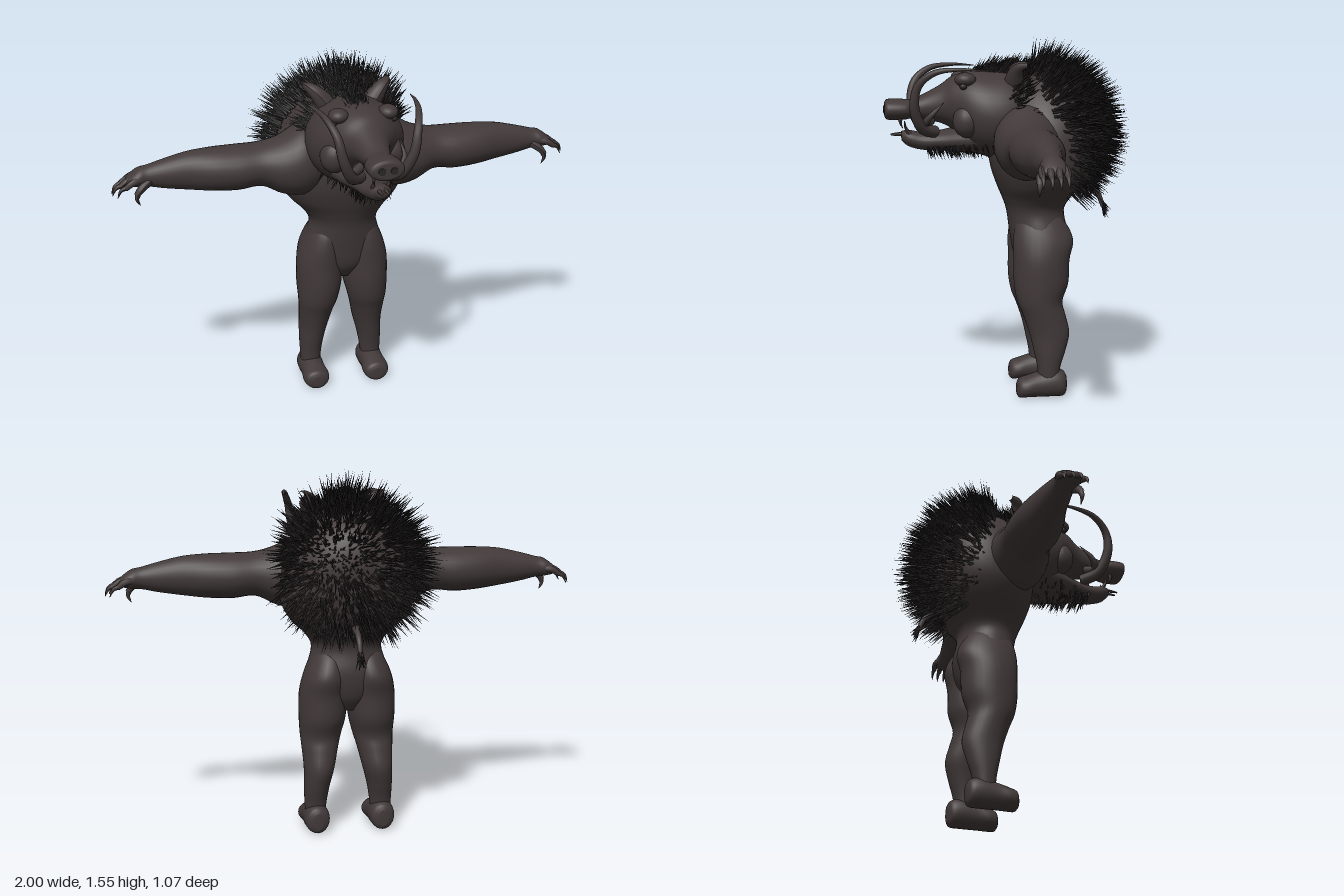
import * as THREE from 'three';
import { mergeGeometries } from 'three/addons/utils/BufferGeometryUtils.js';

const V = (x, y, z) => new THREE.Vector3(x, y, z);

// small seeded random generator
let seed = 7;
const rnd = (a = 0, b = 1) => {
  seed = (seed * 1664525 + 1013904223) % 4294967296;
  return a + (b - a) * seed / 4294967296;
};

const AXES = { x: [V(0, 1, 0), V(0, 0, 1)], y: [V(0, 0, 1), V(1, 0, 0)], z: [V(1, 0, 0), V(0, 1, 0)] };

// smooth skin through elliptical rings [x, y, z, radiusU, radiusV], listed in rising axis order
function loft(axis, rings, seg = 32, steps = 5) {
  const [u, v] = AXES[axis];
  const mid = new THREE.CatmullRomCurve3(rings.map(r => V(r[0], r[1], r[2])), false, 'catmullrom');
  const rad = new THREE.CatmullRomCurve3(rings.map(r => V(r[3], r[4], 0)), false, 'catmullrom');
  const n = (rings.length - 1) * steps, pos = [], index = [];
  for (let i = 0; i <= n; i++) {
    const c = mid.getPoint(i / n), r = rad.getPoint(i / n);
    for (let j = 0; j < seg; j++) {
      const a = j / seg * Math.PI * 2;
      const p = c.clone().addScaledVector(u, Math.cos(a) * r.x).addScaledVector(v, Math.sin(a) * r.y);
      pos.push(p.x, p.y, p.z);
    }
  }
  for (let i = 0; i < n; i++) for (let j = 0; j < seg; j++) {
    const a = i * seg + j, b = i * seg + (j + 1) % seg;
    index.push(a, b, b + seg, a, b + seg, a + seg);
  }
  const s = mid.getPoint(0), e = mid.getPoint(1), k = (n + 1) * seg;
  pos.push(s.x, s.y, s.z, e.x, e.y, e.z);
  for (let j = 0; j < seg; j++) {
    const b = (j + 1) % seg;
    index.push(k, b, j, k + 1, n * seg + j, n * seg + b);
  }
  const g = new THREE.BufferGeometry();
  g.setAttribute('position', new THREE.Float32BufferAttribute(pos, 3));
  g.setIndex(index);
  g.computeVertexNormals();
  return g;
}

// curved tube that tapers from radius r0 to r1
function horn(points, r0, r1 = 0.001, steps = 16, sides = 10) {
  const curve = new THREE.CatmullRomCurve3(points.map(p => V(...p)));
  const g = new THREE.TubeGeometry(curve, steps, r0, sides, false), p = g.attributes.position;
  for (let i = 0; i < p.count; i++) {
    const t = Math.floor(i / (sides + 1)) / steps, c = curve.getPointAt(t);
    const q = V(0, 0, 0).fromBufferAttribute(p, i).sub(c).multiplyScalar(1 + (r1 / r0 - 1) * Math.pow(t, 1.4)).add(c);
    p.setXYZ(i, q.x, q.y, q.z);
  }
  g.computeVertexNormals();
  return g;
}

function ball(x, y, z, rx, ry, rz) {
  return new THREE.SphereGeometry(1, 20, 14).scale(rx, ry, rz).translate(x, y, z);
}

function mirrored(geo) {
  const g = geo.clone().scale(-1, 1, 1), ix = g.index.array;
  for (let i = 0; i < ix.length; i += 3) [ix[i], ix[i + 1]] = [ix[i + 1], ix[i]];
  g.computeVertexNormals();
  return g;
}

// one bristle: a thin three-sided cone growing from p along d
function bristle(p, d, len, r) {
  const q = new THREE.Quaternion().setFromUnitVectors(V(0, 1, 0), d.clone().normalize());
  return new THREE.ConeGeometry(r, len, 3, 1, true).translate(0, len * 0.42, 0).applyQuaternion(q).translate(p.x, p.y, p.z);
}
const jitter = (d, k) => d.add(V(rnd(-k, k), rnd(-k, k), rnd(-k, k)));

export function createModel() {
  seed = 7;
  const model = new THREE.Group();
  const hide = new THREE.MeshStandardMaterial({ color: 0x423939 });
  hide.name = 'dark hide';
  const fur = new THREE.MeshStandardMaterial({ color: 0x2a2626, side: THREE.DoubleSide });
  fur.name = 'black bristle';
  const add = (name, geo, mat = hide) => {
    const m = new THREE.Mesh(geo, mat);
    m.name = name;
    model.add(m);
  };
  const pair = (name, geo, mat) => {
    add('left ' + name, geo, mat);
    add('right ' + name, mirrored(geo), mat);
  };

  // torso, from pelvis to hunched shoulders
  add('torso', loft('y', [
    [0, 0.53, -0.12, 0.06, 0.05], [0, 0.6, -0.12, 0.105, 0.14], [0, 0.7, -0.12, 0.125, 0.172],
    [0, 0.8, -0.105, 0.125, 0.15], [0, 0.86, -0.11, 0.15, 0.18], [0, 0.92, -0.125, 0.19, 0.24],
    [0, 1.0, -0.135, 0.225, 0.283], [0, 1.1, -0.14, 0.24, 0.29], [0, 1.2, -0.15, 0.235, 0.265],
    [0, 1.3, -0.15, 0.2, 0.2], [0, 1.37, -0.14, 0.13, 0.12], [0, 1.41, -0.13, 0.03, 0.03]], 40));

  // legs and feet
  pair('leg', loft('y', [
    [0.145, 0.04, -0.145, 0.04, 0.04], [0.142, 0.13, -0.148, 0.05, 0.048], [0.137, 0.2, -0.152, 0.068, 0.055],
    [0.127, 0.28, -0.152, 0.087, 0.065], [0.12, 0.36, -0.13, 0.092, 0.077], [0.114, 0.42, -0.112, 0.098, 0.088],
    [0.107, 0.5, -0.118, 0.118, 0.1], [0.104, 0.6, -0.12, 0.121, 0.102], [0.097, 0.68, -0.128, 0.13, 0.092],
    [0.085, 0.75, -0.12, 0.11, 0.075], [0.08, 0.8, -0.115, 0.07, 0.05]], 28));
  pair('foot', loft('z', [
    [0.142, 0.055, -0.225, 0.02, 0.035], [0.142, 0.058, -0.21, 0.048, 0.056], [0.142, 0.062, -0.17, 0.056, 0.062],
    [0.142, 0.055, -0.1, 0.055, 0.055], [0.142, 0.047, -0.05, 0.06, 0.047], [0.142, 0.042, -0.02, 0.05, 0.042],
    [0.142, 0.038, -0.008, 0.025, 0.025]], 24));

  // arms
  pair('arm', loft('x', [
    [0.1, 1.13, -0.06, 0.13, 0.13], [0.2, 1.115, -0.045, 0.155, 0.142], [0.29, 1.1, -0.04, 0.125, 0.128],
    [0.38, 1.11, -0.045, 0.093, 0.108], [0.48, 1.105, -0.046, 0.095, 0.11], [0.58, 1.107, -0.046, 0.092, 0.098],
    [0.68, 1.11, -0.047, 0.082, 0.072], [0.78, 1.107, -0.047, 0.063, 0.055], [0.85, 1.105, -0.047, 0.046, 0.045],
    [0.89, 1.102, -0.046, 0.04, 0.05], [0.93, 1.092, -0.046, 0.022, 0.044], [0.945, 1.088, -0.046, 0.008, 0.025]], 28));

  // fingers with hooked claws
  [-0.083, -0.058, -0.033, -0.009].forEach((z, i) => {
    const dx = i === 0 || i === 3 ? -0.018 : 0, s = (z + 0.046) * 0.25;
    pair('finger ' + (i + 1), horn([[0.89, 1.1, z], [0.935 + dx, 1.095, z + s], [0.967 + dx, 1.073, z + s]], 0.016, 0.011, 8));
    pair('claw ' + (i + 1), horn([[0.955 + dx, 1.08, z + s], [0.985 + dx, 1.066, z + s], [1.0 + dx, 1.035, z + s]], 0.011, 0.001, 8));
  });
  pair('thumb', horn([[0.85, 1.09, -0.02], [0.885, 1.065, 0.0], [0.905, 1.04, 0.003]], 0.02, 0.012, 8));
  pair('thumb claw', horn([[0.898, 1.048, 0.002], [0.905, 1.025, 0.004], [0.892, 0.995, 0.003]], 0.012, 0.001, 8));

  // head with long snout, lower jaw
  add('head', loft('z', [
    [0, 1.22, -0.12, 0.14, 0.14], [0, 1.22, 0, 0.195, 0.175], [0, 1.22, 0.1, 0.205, 0.183],
    [0, 1.238, 0.18, 0.18, 0.165], [0, 1.268, 0.25, 0.125, 0.115], [0, 1.265, 0.3, 0.088, 0.083],
    [0, 1.255, 0.36, 0.066, 0.06], [0, 1.246, 0.42, 0.056, 0.042], [0, 1.243, 0.45, 0.07, 0.043],
    [0, 1.243, 0.49, 0.074, 0.045], [0, 1.243, 0.53, 0.071, 0.043], [0, 1.243, 0.541, 0.05, 0.03]], 36));
  add('lower jaw', loft('z', [
    [0, 1.13, 0.08, 0.15, 0.09], [0, 1.118, 0.2, 0.12, 0.062], [0, 1.11, 0.3, 0.078, 0.043],
    [0, 1.107, 0.38, 0.057, 0.038], [0, 1.12, 0.44, 0.047, 0.035], [0, 1.13, 0.47, 0.025, 0.02]], 28));
  pair('nostril', new THREE.CylinderGeometry(0.015, 0.015, 0.006, 14).rotateX(Math.PI / 2).translate(0.025, 1.243, 0.542), fur);
  pair('brow', ball(0.105, 1.372, 0.205, 0.042, 0.03, 0.045));
  pair('eye', ball(0.128, 1.345, 0.215, 0.015, 0.014, 0.016), fur);
  pair('cheek', ball(0.12, 1.2, 0.2, 0.06, 0.07, 0.06));

  // tusks and teeth
  pair('great tusk', horn([[0.05, 1.15, 0.33], [0.1, 1.17, 0.385], [0.145, 1.26, 0.42], [0.165, 1.35, 0.405],
    [0.19, 1.405, 0.34], [0.21, 1.42, 0.24], [0.222, 1.415, 0.14]], 0.026, 0.002, 32, 12));
  pair('cheek tusk', horn([[0.055, 1.2, 0.35], [0.1, 1.19, 0.375], [0.13, 1.225, 0.35], [0.125, 1.28, 0.295]], 0.022, 0.001, 18));
  pair('upper tooth', horn([[0.035, 1.22, 0.47], [0.037, 1.19, 0.475], [0.035, 1.165, 0.465]], 0.01, 0.001, 8));
  pair('lower tooth', horn([[0.03, 1.13, 0.43], [0.032, 1.16, 0.45], [0.032, 1.19, 0.455]], 0.01, 0.001, 8));
  pair('front tooth', horn([[0.012, 1.135, 0.44], [0.014, 1.137, 0.48], [0.014, 1.135, 0.515]], 0.01, 0.003, 8));

  // ears: folded cups leaning outward
  pair('ear', horn([[0.1, 1.36, 0], [0.14, 1.41, -0.005], [0.165, 1.43, -0.02], [0.18, 1.435, -0.05]], 0.042, 0.012, 12));

  // tail with tuft
  add('tail', horn([[0, 0.93, -0.28], [0, 0.9, -0.34], [0, 0.87, -0.38], [0, 0.81, -0.405]], 0.016, 0.009));
  const tuft = [];
  for (let i = 0; i < 36; i++) tuft.push(bristle(V(rnd(-0.01, 0.01), rnd(0.8, 0.83), -0.405), jitter(V(0, -1, -0.45), 0.35), rnd(0.03, 0.065), 0.005));
  add('tail tuft', mergeGeometries(tuft), fur);

  // bristles over the back
  const back = [];
  while (back.length < 2000) {
    const n = V(rnd(-1, 1), rnd(-1, 1), rnd(-1, 1));
    if (n.length() > 1 || n.length() < 0.1) continue;
    n.normalize();
    if (n.y < -0.88 || n.z > -0.3 + 0.5 * Math.max(0, n.y) + rnd(-0.12, 0.12)) continue;
    const p = V(n.x * 0.28, 1.14 + n.y * 0.265, -0.14 + n.z * 0.23);
    const d = n.clone().add(V(0, -0.05, -0.55));
    back.push(bristle(p, jitter(d, 0.3), rnd(0.08, 0.17), 0.007));
  }
  add('back bristles', mergeGeometries(back), fur);

  // crest along the top of the head
  const crest = [];
  for (let i = 0; i < 420; i++) {
    const z = rnd(-0.22, 0.24), w = 0.035 + 0.1 * Math.max(0, 0.1 - z), x = rnd(-w, w);
    const y = 1.395 - 1.5 * x * x - 0.5 * Math.max(0, z - 0.12) - 0.1 * Math.max(0, -z);
    crest.push(bristle(V(x, y, z), jitter(V(x * 4, 0.8, -0.65), 0.28), rnd(0.06, 0.12), 0.006));
  }
  add('head crest', mergeGeometries(crest), fur);

  // ruff around the neck, beard under the jaw
  const ruff = [];
  for (let i = 0; i < 320; i++) {
    const a = rnd(0, Math.PI * 2), c = Math.cos(a), s = Math.sin(a);
    ruff.push(bristle(V(c * 0.19, 1.22 + s * 0.17, rnd(-0.06, 0.03)), jitter(V(c, s, -0.7), 0.3), rnd(0.05, 0.11), 0.006));
  }
  for (let i = 0; i < 200; i++) {
    const z = rnd(0.08, 0.36), w = 0.17 - 0.38 * (z - 0.08), x = rnd(-w, w);
    const y = 1.075 + 1.6 * x * x;
    ruff.push(bristle(V(x, y, z), jitter(V(x * 2, -1, -0.35), 0.3), rnd(0.03, 0.065), 0.005));
  }
  add('ruff and beard', mergeGeometries(ruff), fur);

  return model;
}
